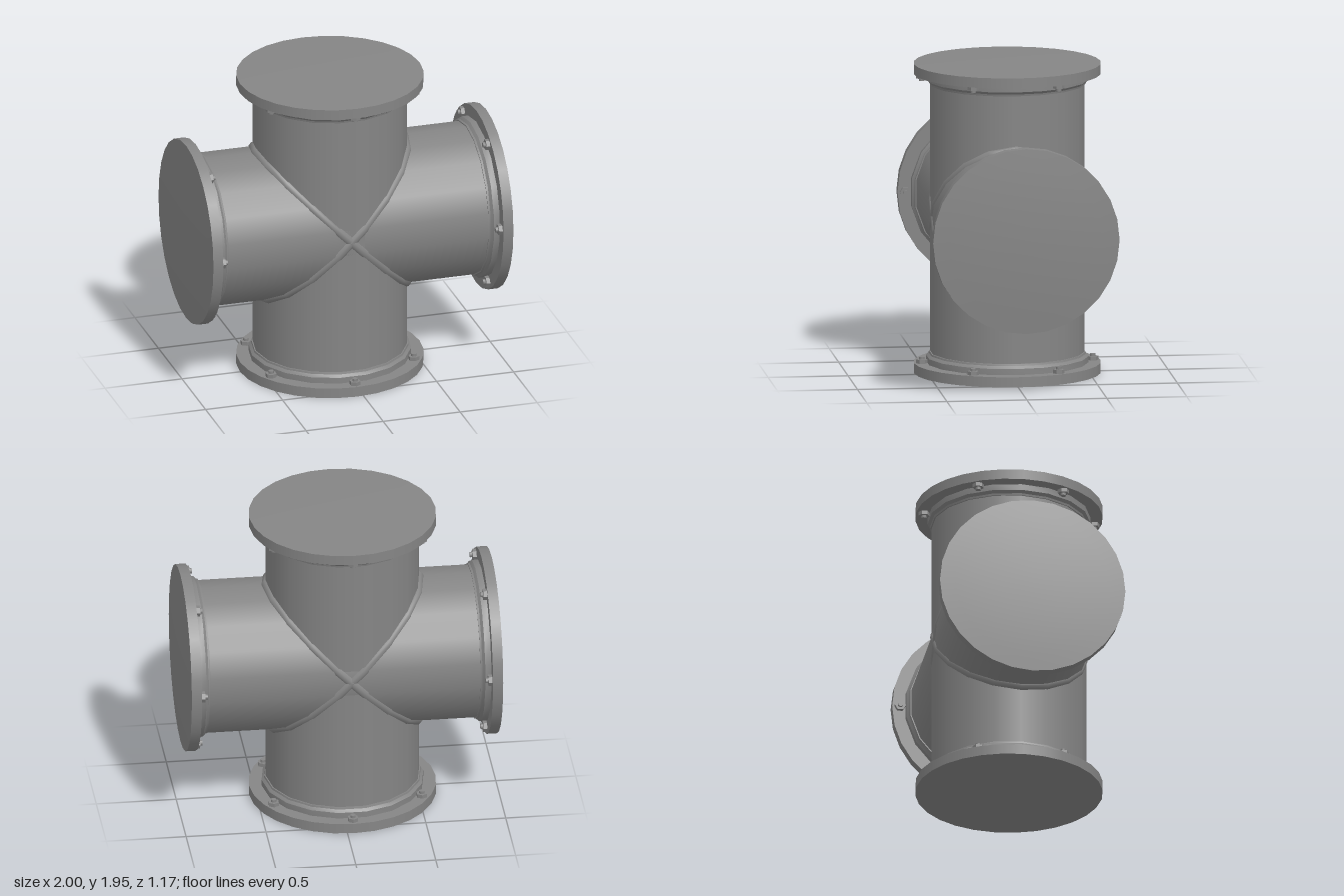
import * as THREE from 'three';
import { toCreasedNormals } from 'three/addons/utils/BufferGeometryUtils.js';

const AXIS_X = -0.04; // upright pipe axis
const AXIS_Y = 0.993; // level pipe axis
const PIPE_R = 0.48;
const PIPE_SIDES = 18;
const FLANGE_R = 0.583;
const FLANGE_SIDES = 28;

const smooth = new THREE.MeshStandardMaterial({ color: 0x858585 });
const flat = new THREE.MeshStandardMaterial({ color: 0x858585, flatShading: true });

function add(parent, name, geometry, material = smooth) {
  const mesh = new THREE.Mesh(geometry, material);
  mesh.name = name;
  parent.add(mesh);
  return mesh;
}

function lathe(points, segments) {
  const profile = points.map(([r, y]) => new THREE.Vector2(r, y));
  return toCreasedNormals(new THREE.LatheGeometry(profile, segments, Math.PI / 2), 0.4);
}

// Blanked pipe end: outer rim of the flange at y = 0, pipe running down -y
function createEnd(name, domeHeight) {
  const end = new THREE.Group();
  end.name = name;

  const flange = add(end, 'flange', new THREE.CylinderGeometry(FLANGE_R, FLANGE_R, 0.064, FLANGE_SIDES));
  flange.position.y = -0.032;

  // Slightly bulging cover plate
  if (domeHeight > 0) {
    const dome = [];
    for (let i = 6; i >= 0; i--) {
      const t = i / 6;
      dome.push([FLANGE_R * t, domeHeight * (1 - t * t)]);
    }
    add(end, 'coverPlate', lathe(dome, FLANGE_SIDES));
  }

  // Stepped collar between flange and pipe
  add(end, 'collar', lathe([
    [0.47, -0.13], [0.487, -0.13], [0.49, -0.118], [0.506, -0.102], [0.506, -0.06],
  ], PIPE_SIDES));

  // Six nuts with stud ends on the inner flange face
  for (let i = 0; i < 6; i++) {
    const a = i * Math.PI / 3;
    const bolt = new THREE.Group();
    bolt.name = 'bolt';
    bolt.position.set(0.535 * Math.sin(a), -0.064, 0.535 * Math.cos(a));
    bolt.rotation.y = a;
    add(bolt, 'nut', new THREE.CylinderGeometry(0.035, 0.035, 0.024, 6), flat).position.y = -0.012;
    add(bolt, 'stud', new THREE.CylinderGeometry(0.017, 0.017, 0.04, 10)).position.y = -0.02;
    end.add(bolt);
  }
  return end;
}

// Oblique ellipse where the pipes meet, stepped in time with the pipe sides
class SeamCurve extends THREE.Curve {
  constructor(slope) {
    super();
    this.slope = slope;
  }
  getPoint(t, target = new THREE.Vector3()) {
    const a = t * Math.PI * 2;
    const c = 0.47 * Math.cos(a);
    return target.set(c, this.slope * c, 0.45 * Math.sin(a));
  }
  getUtoTmapping(u) {
    return u;
  }
}

export function createModel() {
  const model = new THREE.Group();
  model.name = 'pipeCross';

  // Pipes
  const pipe = new THREE.CylinderGeometry(PIPE_R, PIPE_R, 1.86, PIPE_SIDES, 1, false, Math.PI / 2);
  const upright = add(model, 'uprightPipe', pipe);
  upright.position.set(AXIS_X, 0.974, 0);
  const level = add(model, 'levelPipe', pipe);
  level.position.set(0, AXIS_Y, 0);
  level.rotation.z = Math.PI / 2;

  // Flanged ends
  const ends = [
    ['topEnd', AXIS_X, 1.947, 0, 0.005],
    ['bottomEnd', AXIS_X, 0, Math.PI, 0],
    ['leftEnd', 0.974, AXIS_Y, -Math.PI / 2, 0.026],
    ['rightEnd', -0.974, AXIS_Y, Math.PI / 2, 0.026],
  ];
  for (const [name, x, y, turn, dome] of ends) {
    const end = createEnd(name, dome);
    end.position.set(x, y, 0);
    end.rotation.z = turn;
    model.add(end);
  }

  // Crossing weld beads, sunk into the pipes
  for (const slope of [1, -1]) {
    const bead = new THREE.TubeGeometry(new SeamCurve(slope), PIPE_SIDES, 0.04, 12, true);
    add(model, 'weldSeam', bead).position.set(AXIS_X, AXIS_Y, 0);
  }
  return model;
}
